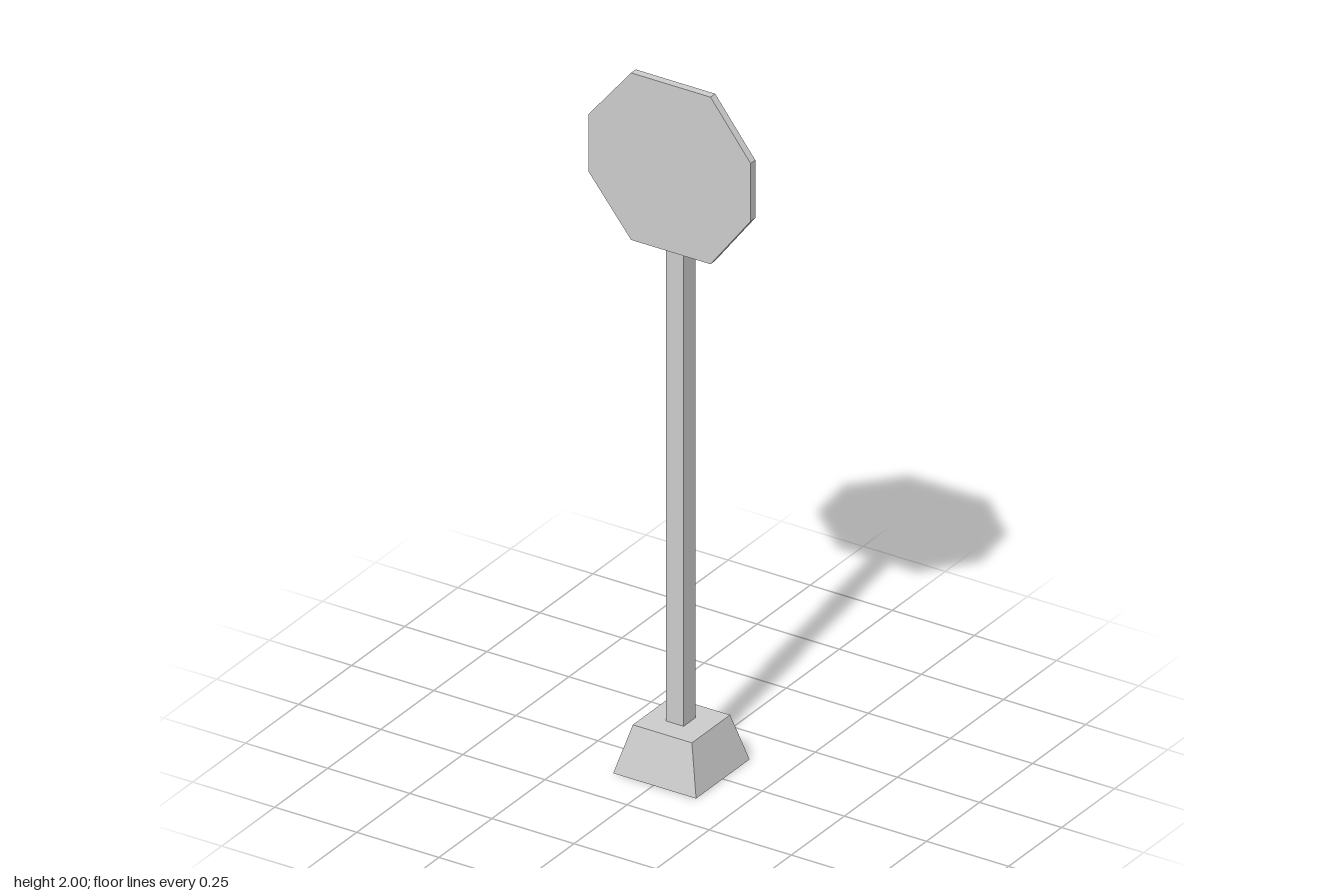
import * as THREE from 'three';

export function createModel() {
  const model = new THREE.Group();
  model.name = 'roadSign';
  const grey = new THREE.MeshStandardMaterial({ color: 0xcccccc, flatShading: true });
  const greyOpen = grey.clone();
  greyOpen.side = THREE.DoubleSide;

  const add = (name, geometry, x, y, z, material = grey) => {
    const mesh = new THREE.Mesh(geometry, material);
    mesh.name = name;
    mesh.position.set(x, y, z);
    model.add(mesh);
  };

  // Tapered four-sided foot, hollow and open underneath
  const baseHeight = 0.135;
  const profile = [[0.126, 0], [0.09, baseHeight], [0, baseHeight]]
    .map(([half, y]) => new THREE.Vector2(half * Math.SQRT2, y));
  const foot = new THREE.LatheGeometry(profile, 4, Math.PI / 4).toNonIndexed();
  foot.computeVertexNormals();
  add('base', foot, 0.004, 0, 0, greyOpen);

  // Square post standing on the foot, topped by a wider bracket
  const bracketBottom = 1.715, bracketTop = 1.78, depth = 0.055;
  const postHeight = bracketBottom - baseHeight;
  add('post', new THREE.BoxGeometry(0.054, postHeight, depth), 0.001, baseHeight + postHeight / 2, -0.001);
  add('bracket', new THREE.BoxGeometry(0.118, bracketTop - bracketBottom, depth),
    0.004, (bracketTop + bracketBottom) / 2, -0.001);

  // Thin octagonal plate fixed to the front of the bracket
  const octagon = new THREE.Shape([
    [-0.118, 1.515], [0.124, 1.515], [0.246, 1.675], [0.246, 1.843],
    [0.124, 2], [-0.118, 2], [-0.247, 1.843], [-0.247, 1.675],
  ].map(([x, y]) => new THREE.Vector2(x, y)));
  add('signPlate', new THREE.ExtrudeGeometry(octagon, { depth: 0.022, bevelEnabled: false }), 0, 0, 0.0265);

  return model;
}
